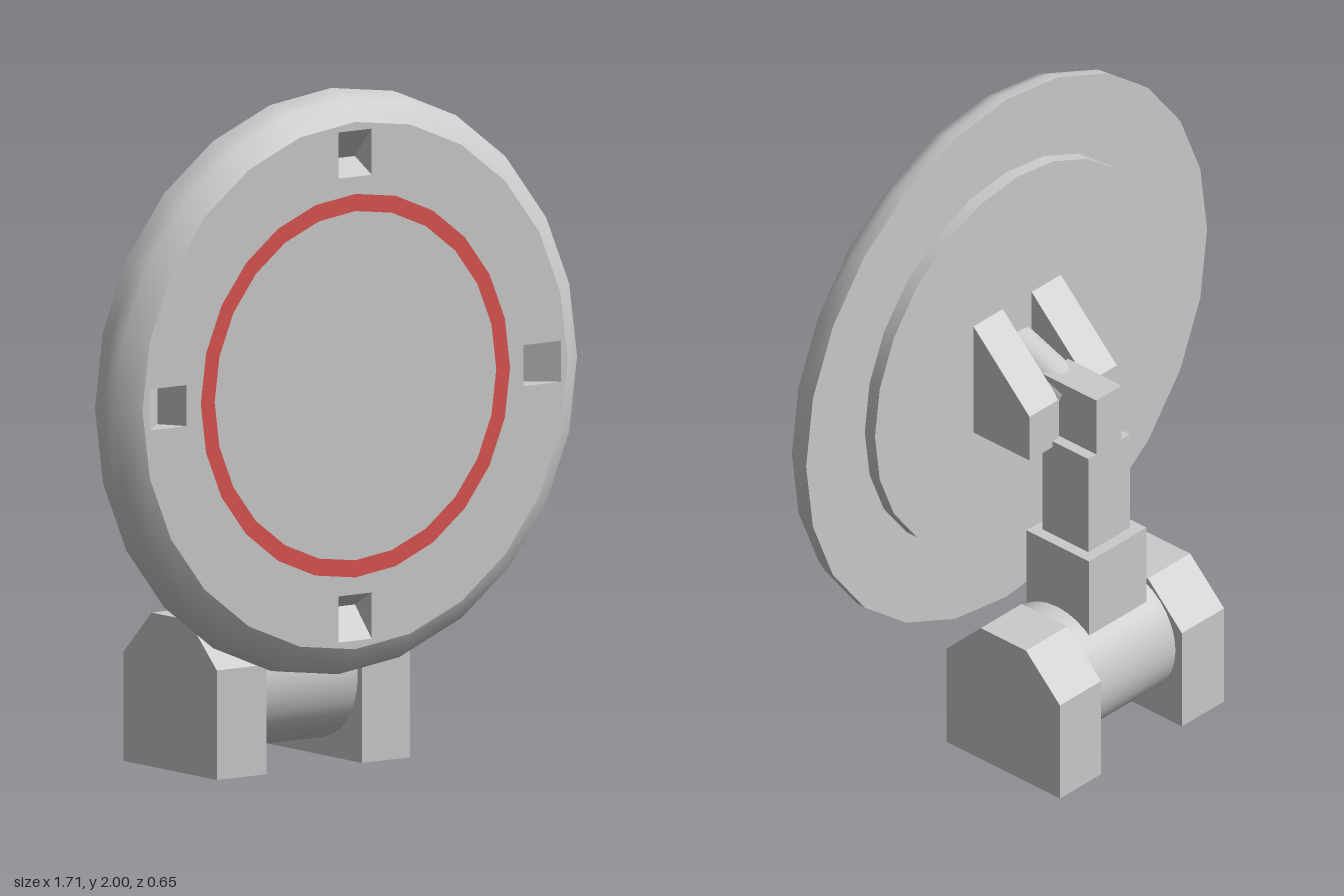
import * as THREE from 'three';
import { toCreasedNormals } from 'three/addons/utils/BufferGeometryUtils.js';

const CY = 1.145; // height of the dish centre
const SIDES = 24;

export function createModel() {
  const model = new THREE.Group();
  model.name = 'dishOnStand';
  const grey = new THREE.MeshStandardMaterial({ color: 0xcccccc });
  const greyDouble = new THREE.MeshStandardMaterial({ color: 0xcccccc, side: THREE.DoubleSide });
  const red = new THREE.MeshStandardMaterial({ color: 0xd9534f });

  const add = (name, geometry, material = grey, parent = model) => {
    const mesh = new THREE.Mesh(geometry, material);
    mesh.name = name;
    parent.add(mesh);
    return mesh;
  };
  // box given by its limits on each axis
  const box = (name, x0, x1, y0, y1, z0, z1) =>
    add(name, new THREE.BoxGeometry(x1 - x0, y1 - y0, z1 - z0))
      .position.set((x0 + x1) / 2, (y0 + y1) / 2, (z0 + z1) / 2);
  // side profile of [z, y] points, extruded from x0 to x1
  const slab = (name, profile, x0, x1) => {
    const shape = new THREE.Shape(profile.map(([z, y]) => new THREE.Vector2(-z, y)));
    const geo = new THREE.ExtrudeGeometry(shape, { depth: x1 - x0, bevelEnabled: false });
    add(name, geo.rotateY(Math.PI / 2).translate(x0, 0, 0));
  };

  // Dish
  const dish = new THREE.Group();
  dish.name = 'dish';
  dish.position.y = CY;
  model.add(dish);

  // rounded rim and back face
  const rimProfile = [[0.5, 0.21], [0.855, 0.21], [0.853, 0.245], [0.834, 0.285], [0.77, 0.325]]
    .map(([r, z]) => new THREE.Vector2(r, z));
  const rim = new THREE.LatheGeometry(rimProfile, SIDES).rotateX(Math.PI / 2);
  add('dishRim', toCreasedNormals(rim, 0.7), grey, dish);

  // front face with four rectangular openings
  const face = new THREE.Shape();
  for (let i = 0; i < SIDES; i++) {
    const a = (i / SIDES) * Math.PI * 2;
    face[i ? 'lineTo' : 'moveTo'](0.77 * Math.cos(a), 0.77 * Math.sin(a));
  }
  const rIn = 0.61, rLow = 0.655, rOut = 0.745, half = 0.06, depth = 0.08;
  for (let k = 0; k < 4; k++) {
    const turn = (k * Math.PI) / 2;
    const corners = [[rIn, -half], [rIn, half], [rOut, half], [rOut, -half]]
      .map(([x, y]) => new THREE.Vector2(x, y).rotateAround(new THREE.Vector2(), turn));
    face.holes.push(new THREE.Path(corners));

    // V-shaped recess behind each opening
    const vee = new THREE.Shape([[rIn, 0], [rLow, -depth], [rOut, 0]]
      .map(([x, y]) => new THREE.Vector2(x, y)));
    const P = (r, s, z) => [r, s * half, z];
    const a = P(rIn, -1, 0), b = P(rIn, 1, 0), c = P(rLow, -1, -depth), d = P(rLow, 1, -depth);
    const e = P(rOut, -1, 0), f = P(rOut, 1, 0);
    const geo = new THREE.BufferGeometry();
    const tris = [a, c, d, a, d, b, c, e, f, c, f, d, a, e, c, b, d, f];
    geo.setAttribute('position', new THREE.Float32BufferAttribute(tris.flat(), 3));
    geo.computeVertexNormals();
    const recess = add('recess', geo, greyDouble, dish);
    recess.position.z = 0.325;
    recess.rotation.z = turn;
  }
  add('dishFace', new THREE.ShapeGeometry(face), grey, dish).position.z = 0.325;
  add('redRing', new THREE.RingGeometry(0.51, 0.56, SIDES), red, dish).position.z = 0.3265;

  // raised plate on the back of the dish
  const plate = new THREE.CylinderGeometry(0.605, 0.605, 0.04, SIDES).rotateX(Math.PI / 2);
  add('backPlate', plate, grey, dish).position.z = 0.19;

  // Brackets behind the plate, with the pivot rod between them
  const bracket = [[0.17, 1.325], [-0.05, 1.11], [-0.05, 0.96], [0.17, 0.96]];
  slab('rightBracket', bracket, -0.187, -0.063);
  slab('leftBracket', bracket, 0.06, 0.185);
  const from = new THREE.Vector3(0, 1.165, 0.18), to = new THREE.Vector3(0, 1.085, -0.04);
  const rod = add('pivotRod', new THREE.CylinderGeometry(0.07, 0.07, from.distanceTo(to), 24));
  rod.position.copy(from).lerp(to, 0.5);
  rod.quaternion.setFromUnitVectors(new THREE.Vector3(0, 1, 0), from.clone().sub(to).normalize());

  // Stepped arm
  box('armTongue', -0.055, 0.053, 0.95, 1.165, -0.19, 0.02);
  box('upperArm', -0.09, 0.087, 0.6, 0.98, -0.19, -0.01);
  box('lowerArm', -0.123, 0.122, 0.28, 0.66, -0.225, 0.02);

  // Base: hinge barrel between two chamfered feet
  const barrel = new THREE.CylinderGeometry(0.2, 0.2, 0.36, 32).rotateZ(Math.PI / 2);
  add('hingeBarrel', barrel).position.set(0.007, 0.25, -0.1);
  const foot = [[0.12, 0], [0.12, 0.32], [-0.015, 0.45], [-0.192, 0.45], [-0.325, 0.32], [-0.325, 0]];
  slab('rightFoot', foot, -0.345, -0.165);
  slab('leftFoot', foot, 0.18, 0.355);

  return model;
}
